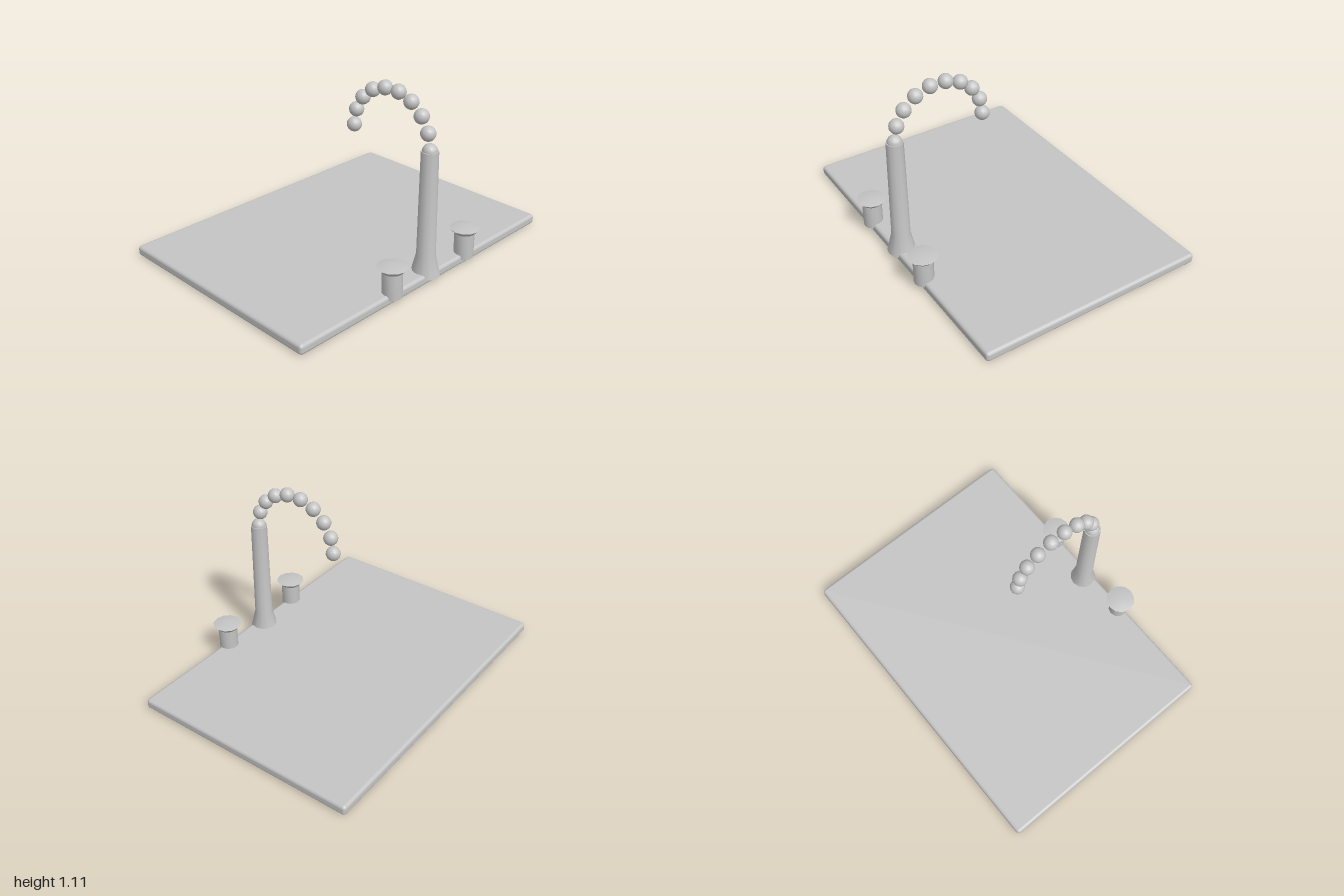
import * as THREE from 'three';
import { toCreasedNormals } from 'three/addons/utils/BufferGeometryUtils.js';
import { RoundedBoxGeometry } from 'three/addons/geometries/RoundedBoxGeometry.js';

export function createModel() {
  const model = new THREE.Group();
  const steel = new THREE.MeshStandardMaterial({ color: 0xc4c4c4 });
  steel.name = 'steel grey';

  const add = (name, geometry, x, y, z) => {
    const mesh = new THREE.Mesh(geometry, steel);
    mesh.name = name;
    mesh.position.set(x, y, z);
    model.add(mesh);
    return mesh;
  };
  // Turned part with crisp rims and smooth sides; profile runs bottom to top
  const turned = (profile) => toCreasedNormals(
    new THREE.LatheGeometry(profile.map(([r, y]) => new THREE.Vector2(r, y)), 12), 0.6);

  // Counter slab with softened edges
  add('counterSlab', new RoundedBoxGeometry(2, 0.062, 1.43, 2, 0.02), 0, 0.031, -0.03);

  // Tapered spout column with flared foot
  add('spoutColumn', turned([
    [0, 0.035], [0.086, 0.035], [0.056, 0.16], [0.05, 0.785], [0, 0.785],
  ]), 0, 0, 0.632);

  // Arched spout made from ten beads in a half circle
  const bead = new THREE.SphereGeometry(0.044, 14, 10);
  for (let i = 0; i < 10; i++) {
    const a = (i / 9) * Math.PI;
    add('spoutBead' + (i + 1), bead, 0, 0.784 + 0.282 * Math.sin(a), 0.35 + 0.282 * Math.cos(a));
  }

  // Pair of tap handles: round stem and a wide shallow cap
  const stem = turned([[0, 0.035], [0.059, 0.035], [0.059, 0.19], [0, 0.19]]);
  const cap = turned([[0, 0.189], [0.06, 0.189], [0.088, 0.218], [0, 0.236]]);
  for (const [side, x] of [['left', 0.31], ['right', -0.31]]) {
    add(side + 'HandleStem', stem, x, 0, 0.66);
    add(side + 'HandleCap', cap, x, 0, 0.66);
  }
  return model;
}
